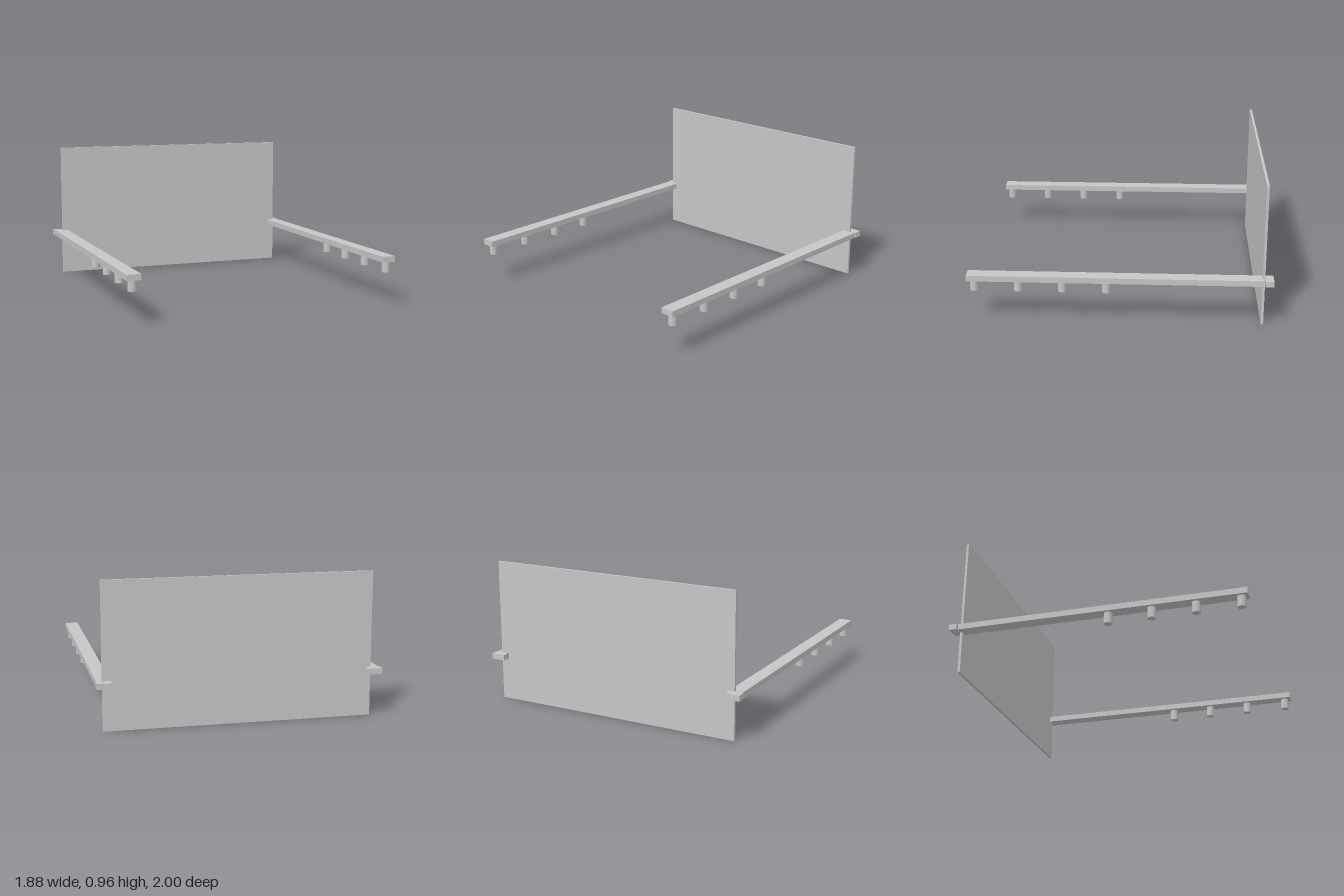
import * as THREE from 'three';

export function createModel() {
  const model = new THREE.Group();
  const grey = new THREE.MeshStandardMaterial({ color: 0xc6c6c6 });
  grey.name = 'light grey';

  const add = (name, geometry, x, y, z) => {
    const mesh = new THREE.Mesh(geometry, grey);
    mesh.name = name;
    mesh.position.set(x, y, z);
    model.add(mesh);
  };
  // box given by its extents on each axis
  const box = (name, [x0, x1], [y0, y1], [z0, z1]) =>
    add(name, new THREE.BoxGeometry(x1 - x0, y1 - y0, z1 - z0),
      (x0 + x1) / 2, (y0 + y1) / 2, (z0 + z1) / 2);

  // upright back panel
  box('backPanel', [-0.878, 0.898], [0, 0.965], [-0.944, -0.927]);

  // long rails in front of the panel, short end blocks behind it
  const railY = [0.287, 0.326];
  box('leftRail', [0.842, 0.935], railY, [-0.938, 1]);
  box('rightRail', [-0.931, -0.838], railY, [-0.938, 1]);
  box('leftEndBlock', [0.842, 0.939], railY, [-1, -0.944]);
  box('rightEndBlock', [-0.939, -0.842], railY, [-1, -0.944]);

  // round pegs under the front half of each rail
  const peg = new THREE.CylinderGeometry(0.028, 0.028, 0.075, 32);
  for (const [side, x] of [['left', 0.892], ['right', -0.884]]) {
    for (let i = 0; i < 4; i++) {
      add(`${side}Peg${i + 1}`, peg, x, 0.2505, 0.953 - i * 0.289);
    }
  }
  return model;
}
